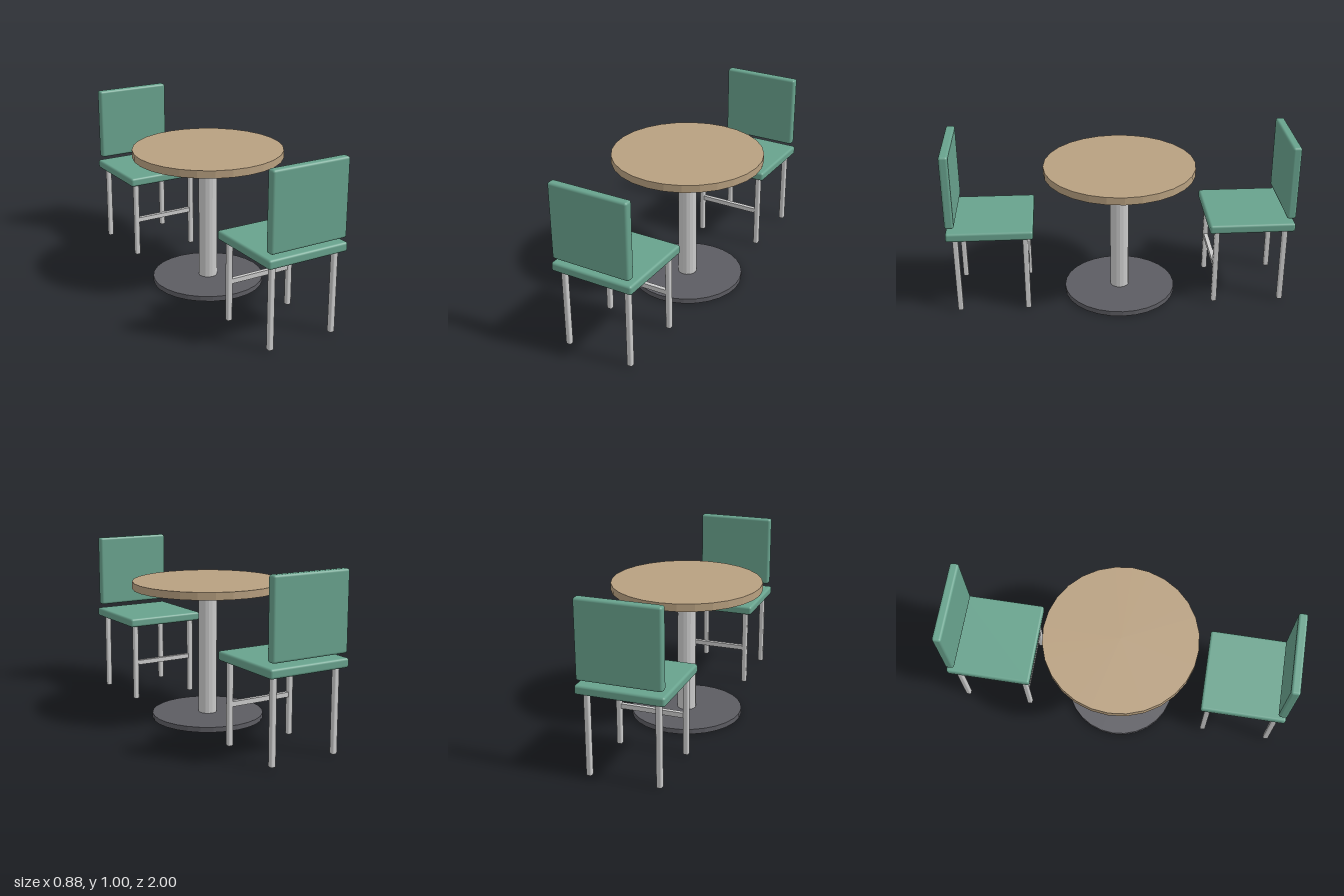
import * as THREE from 'three';
import { RoundedBoxGeometry } from 'three/addons/geometries/RoundedBoxGeometry.js';

const material = (color, flatShading = false) => new THREE.MeshStandardMaterial({ color, flatShading });
const green = material(0x68a28d);
const metal = material(0xc4c4c8);
const flatMetal = material(0xc4c4c8, true);
const wood = material(0xb8a080, true);
const dark = material(0x5c5c62, true);

function add(parent, name, geometry, mat, x, y, z) {
  const mesh = new THREE.Mesh(geometry, mat);
  mesh.name = name;
  mesh.position.set(x, y, z);
  parent.add(mesh);
}

// Box with softened edges
const rounded = (w, h, d, r) => new RoundedBoxGeometry(w, h, d, 3, r);

// Upright disc or column spanning y0 to y1
function disc(parent, name, radius, y0, y1, sides, mat) {
  const geometry = new THREE.CylinderGeometry(radius, radius, y1 - y0, sides);
  add(parent, name, geometry, mat, 0, (y0 + y1) / 2, 0);
}

// Chair with its backrest on the +z side, facing the table at the origin
function createChair() {
  const chair = new THREE.Group();
  add(chair, 'seat', rounded(0.495, 0.053, 0.495, 0.014), green, 0, 0.504, 0.7525);
  add(chair, 'backrest', rounded(0.472, 0.44, 0.052, 0.014), green, 0, 0.776, 0.974);
  for (const x of [-0.198, 0.198]) {
    for (const z of [0.552, 0.95]) {
      add(chair, 'leg', rounded(0.032, 0.472, 0.032, 0.009), metal, x, 0.24, z);
    }
  }
  // Crossbar between the legs nearest the table
  add(chair, 'crossbar', new THREE.BoxGeometry(0.38, 0.028, 0.025), metal, 0, 0.239, 0.552);
  return chair;
}

export function createModel() {
  const model = new THREE.Group();
  model.name = 'tableAndChairs';

  const table = new THREE.Group();
  table.name = 'table';
  disc(table, 'tableTop', 0.441, 0.78, 0.824, 28, wood);
  disc(table, 'pedestal', 0.055, 0.03, 0.78, 16, flatMetal);
  disc(table, 'base', 0.331, 0, 0.03, 28, dark);
  model.add(table);

  // Two chairs facing each other across the table
  ['frontChair', 'backChair'].forEach((name, i) => {
    const chair = createChair();
    chair.name = name;
    chair.rotation.y = i * Math.PI;
    model.add(chair);
  });
  return model;
}
